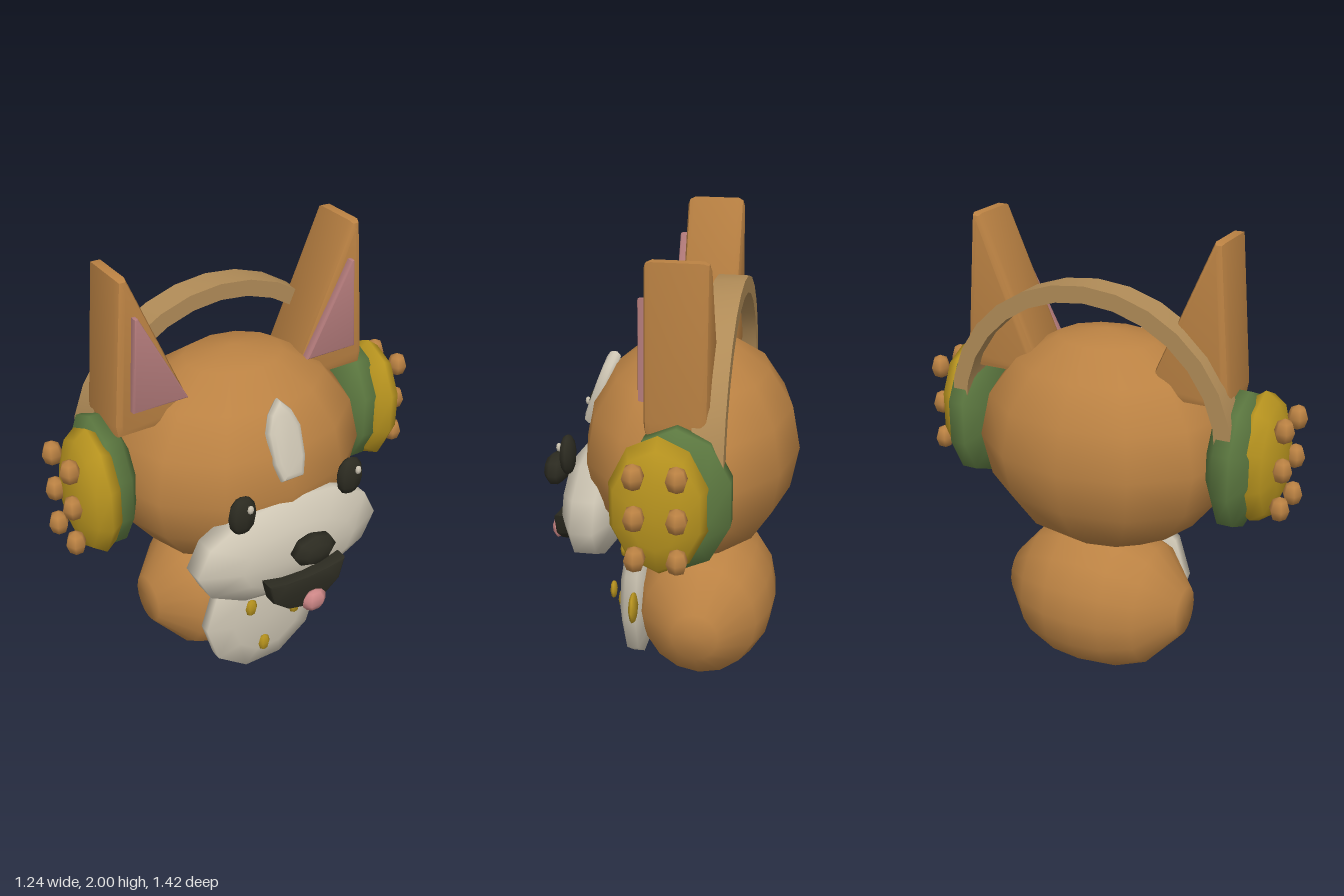
import * as THREE from 'three';
import { toCreasedNormals } from 'three/addons/utils/BufferGeometryUtils.js';

const material = (name, color) => {
  const m = new THREE.MeshStandardMaterial({ color });
  m.name = name;
  return m;
};

export function createModel() {
  const fur = material('orangeFur', 0xbb8243);
  const cream = material('cream', 0xcdc5b3);
  const dark = material('darkBrown', 0x2c2b21);
  const gold = material('gold', 0xb8941f);
  const green = material('green', 0x5c7840);
  const tan = material('tan', 0xb08b57);
  const innerPink = material('innerEarPink', 0xb27a7a);
  const tonguePink = material('tonguePink', 0xcf8888);

  const model = new THREE.Group();
  model.name = 'dogWithEarmuffs';
  const dog = new THREE.Group();
  dog.name = 'dog';
  dog.rotation.y = THREE.MathUtils.degToRad(50); // stands turned towards its left
  model.add(dog);

  const add = (name, geometry, mat, x = 0, y = 0, z = 0) => {
    const mesh = new THREE.Mesh(geometry, mat);
    mesh.name = name;
    mesh.position.set(x, y, z);
    dog.add(mesh);
    return mesh;
  };

  // Low-sided ellipsoid whose poles lie on the given axis
  const ball = (name, mat, [x, y, z], [rx, ry, rz], sides = 10, rings = 6, axis = 'y') => {
    const g = new THREE.SphereGeometry(1, sides, rings);
    if (axis === 'z') g.rotateX(Math.PI / 2);
    if (axis === 'x') g.rotateZ(Math.PI / 2);
    g.scale(rx, ry, rz);
    return add(name, g, mat, x, y, z);
  };

  // Outline in x and y, given depth, rounded inside its own outline
  const plate = (name, mat, points, depth, bevel, z, crease = 0.7) => {
    const shape = new THREE.Shape(points.map(([x, y]) => new THREE.Vector2(x, y)));
    const g = new THREE.ExtrudeGeometry(shape, {
      depth: depth - 2 * bevel, bevelEnabled: bevel > 0, bevelThickness: bevel,
      bevelSize: bevel, bevelOffset: -bevel, bevelSegments: 2,
    });
    g.translate(0, 0, -(depth - 2 * bevel) / 2);
    return add(name, toCreasedNormals(g, crease), mat, 0, 0, z);
  };

  // Body: wide bean turned around the sideways axis
  const bean = [[0, -0.41], [0.11, -0.41], [0.27, -0.27], [0.325, -0.13], [0.337, 0],
    [0.325, 0.13], [0.27, 0.27], [0.11, 0.41], [0, 0.41]];
  const bodyGeometry = new THREE.LatheGeometry(bean.map(([r, x]) => new THREE.Vector2(r, x)), 16);
  bodyGeometry.rotateZ(Math.PI / 2);
  bodyGeometry.scale(1, 1, 0.92);
  add('body', bodyGeometry, fur, 0, 0.342, -0.09);
  ball('belly', cream, [0, 0.33, 0.213], [0.31, 0.325, 0.08], 10, 5, 'z');
  for (const [x, y] of [[-0.12, 0.45], [0.11, 0.365], [-0.05, 0.22]]) {
    ball('bellySpot', gold, [x, y, 0.32], [0.03, 0.045, 0.016], 6, 4);
  }
  ball('sideTag', gold, [0.339, 0.42, 0.186], [0.058, 0.075, 0.02], 6, 4);

  // Head and face
  ball('head', fur, [0, 1.07, -0.02], [0.57, 0.485, 0.46], 12, 8);
  ball('muzzle', cream, [0, 0.815, 0.376], [0.465, 0.25, 0.15], 12, 5, 'z');
  ball('nose', dark, [0, 0.9, 0.585], [0.105, 0.072, 0.055], 8, 5, 'z');
  plate('mouth', dark, [[-0.19, 0.76], [-0.1, 0.74], [0, 0.735], [0.1, 0.74], [0.19, 0.76],
    [0.165, 0.66], [0.09, 0.6], [0, 0.578], [-0.09, 0.6], [-0.165, 0.66]], 0.07, 0.01, 0.525);
  ball('tongue', tonguePink, [0.02, 0.622, 0.583], [0.06, 0.052, 0.028], 6, 5);
  const blaze = plate('foreheadBlaze', cream, [[-0.05, -0.16], [0.05, -0.16], [0.075, -0.08],
    [0.078, 0.05], [0.05, 0.12], [0, 0.175], [-0.05, 0.12], [-0.078, 0.05], [-0.075, -0.08]],
  0.06, 0.025, 0.365, 1);
  blaze.position.y = 1.295;
  blaze.rotation.x = -0.36;

  // Arched band over the head
  const arc = [];
  const steps = 14;
  for (let i = 0; i <= steps; i++) {
    const a = Math.PI * i / steps;
    arc.push([0.645 * Math.cos(a), 1.17 + 0.615 * Math.sin(a)]);
  }
  for (let i = steps; i >= 0; i--) {
    const a = Math.PI * i / steps;
    arc.push([0.575 * Math.cos(a), 1.17 + 0.545 * Math.sin(a)]);
  }
  plate('headband', tan, arc, 0.125, 0, -0.17);

  // Paired parts: eyes, ears and earmuffs
  for (const s of [-1, 1]) {
    ball('eye', dark, [s * 0.261, 1.09, 0.463], [0.065, 0.088, 0.035], 8, 6);
    ball('eyeHighlight', cream, [s * 0.261 + 0.018, 1.128, 0.495], [0.015, 0.02, 0.012], 6, 4);

    plate('ear', fur, [[s * 0.59, 1.34], [s * 0.26, 1.34], [s * 0.25, 1.4], [s * 0.51, 2],
      [s * 0.55, 2], [s * 0.6, 1.4]], 0.25, 0.03, -0.045);
    plate('innerEar', innerPink, [[s * 0.53, 1.455], [s * 0.285, 1.455], [s * 0.49, 1.85],
      [s * 0.505, 1.85]], 0.04, 0.008, 0.09);

    ball('earmuffCushion', green, [s * 0.61, 1.1, -0.055], [0.11, 0.315, 0.23], 10, 5, 'x');
    ball('earmuffShell', gold, [s * 0.69, 1.1, 0.005], [0.105, 0.29, 0.2], 10, 6, 'x');
    for (const y of [0.93, 1.1, 1.27]) {
      for (const z of [-0.083, 0.078]) {
        ball('earmuffKnob', fur, [s * 0.803, y, z], [0.043, 0.055, 0.045], 6, 4);
      }
    }
  }
  return model;
}
